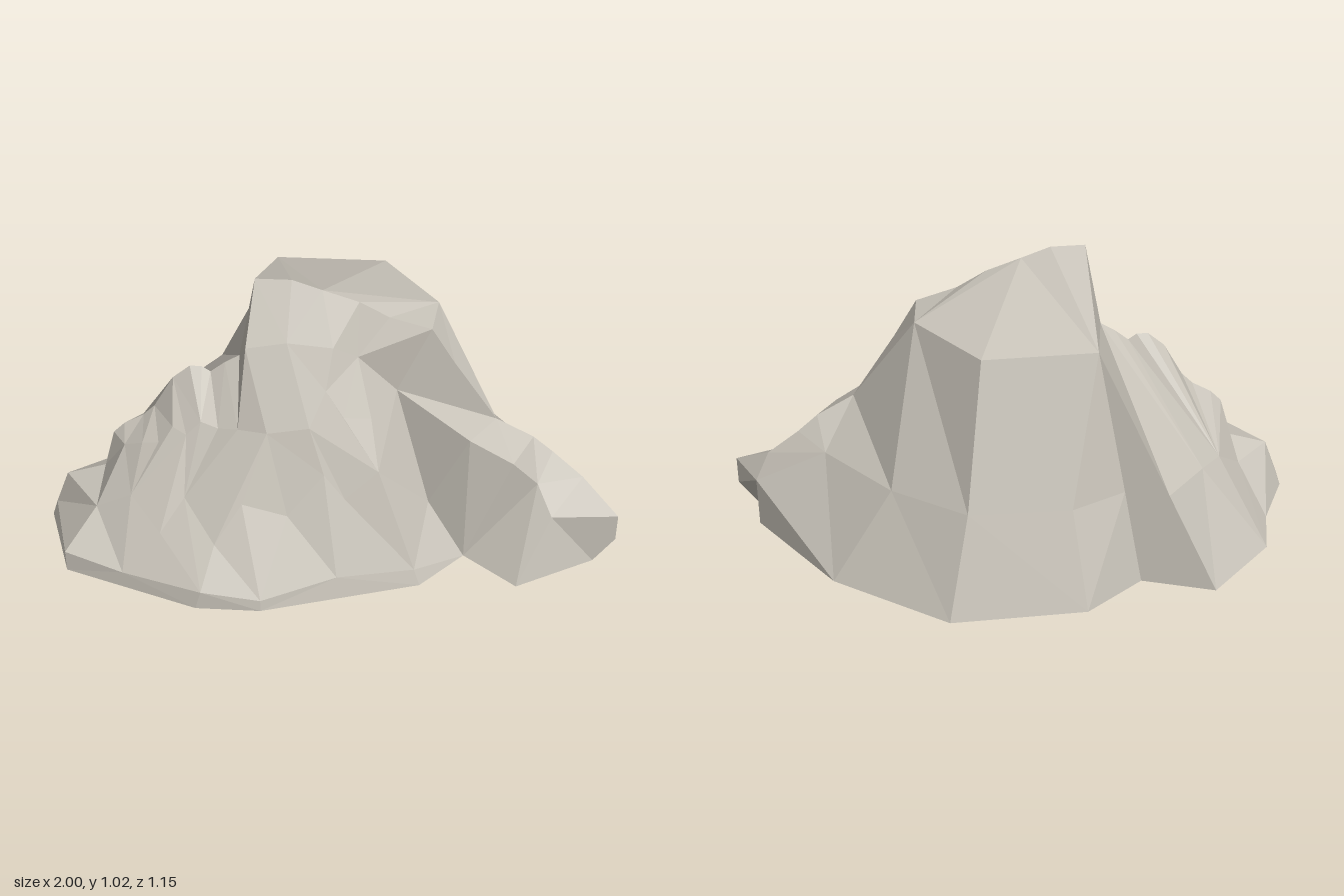
import * as THREE from 'three';

// Zips two contour lines into a faceted band (upper and lower, left to right seen from outside).
function band(upper, lower) {
  const pos = [];
  const dist = (p, q) => Math.hypot(p[0] - q[0], p[1] - q[1], p[2] - q[2]);
  let i = 0, j = 0;
  while (i < upper.length - 1 || j < lower.length - 1) {
    const canUp = i < upper.length - 1, canLow = j < lower.length - 1;
    const goUp = canUp && (!canLow || dist(upper[i + 1], lower[j]) < dist(upper[i], lower[j + 1]));
    const next = goUp ? upper[i + 1] : lower[j + 1];
    if (dist(upper[i], lower[j]) > 1e-6 && dist(next, upper[i]) > 1e-6 && dist(next, lower[j]) > 1e-6) {
      pos.push(...upper[i], ...lower[j], ...next);
    }
    if (goUp) i++; else j++;
  }
  const g = new THREE.BufferGeometry();
  g.setAttribute('position', new THREE.Float32BufferAttribute(pos, 3));
  g.computeVertexNormals();
  return g;
}

export function createModel() {
  const group = new THREE.Group();
  group.name = 'rockFormation';
  const stone = new THREE.MeshStandardMaterial({ color: 0xc8c3b9, side: THREE.DoubleSide });
  stone.name = 'stone';
  const add = (name, geometry) => {
    const mesh = new THREE.Mesh(geometry, stone);
    mesh.name = name;
    group.add(mesh);
  };
  const onRidge = ([x, y]) => [x, y, 0.11];
  const reversed = (line) => [...line].reverse();

  // Shared corners
  const westBase = [-1, 0, 0.11], westLip = [-0.98, 0.06, 0.11], westTop = [-0.93, 0.19, 0.11];
  const notch = [0.23, 0.61, 0.12], groove = [0.35, 0.2, 0.2];
  const spurTop = [0.57, 0.5, 0.11], spurFront = [0.48, 0.5, 0.245], spurFoot = [0.48, 0, 0.245];
  const spurEnd = [1, 0.2, 0.24], eastTop = [0.93, 0.18, 0.11];
  const roofWest = [-0.21, 0.84, -0.34], roofBack = [0.17, 0.84, -0.34], roofEast = [0.36, 0.85, -0.06];
  const eastHip = [0.47, 0.34, -0.28], backHip = [0.235, 0.35, -0.48], westHip = [-0.3, 0.34, -0.394];
  const ledgeCorner = [-0.44, 0.345, -0.446], cleft = [-0.36, 0, -0.43];
  const eastBase = [0.68, 0, -0.29], backBase = [0.31, 0, -0.58];

  // Ridge lines, left to right
  const ridgeWest = [[-0.79, 0.235], [-0.75, 0.38], [-0.71, 0.42], [-0.64, 0.46], [-0.6, 0.5], [-0.53, 0.62],
    [-0.47, 0.67], [-0.43, 0.67], [-0.4, 0.65], [-0.35, 0.69], [-0.3, 0.72]].map(onRidge);
  const saddle = ridgeWest[ridgeWest.length - 1];
  const ridgePeak = [[-0.24, 1.02], [-0.12, 1.02], [-0.02, 0.985], [0.1, 0.945], [0.2, 0.89], [0.34, 0.85]].map(onRidge);
  const ridgeEast = [[0.34, 0.85], [0.42, 0.72], [0.57, 0.5]].map(onRidge);
  const ridgeSpur = [spurTop, [0.7, 0.43, 0.11], [0.77, 0.37, 0.11], [0.88, 0.28, 0.13], spurEnd];

  // Front contours, top to bottom
  const brow = [[-0.265, 0.82, 0.22], [-0.13, 0.84, 0.21], [0.02, 0.82, 0.2], [0.1, 0.77, 0.17], notch];
  const upper = [ridgeWest[0], [-0.7, 0.38, 0.18], [-0.63, 0.42, 0.22], [-0.57, 0.44, 0.24], [-0.52, 0.5, 0.23],
    [-0.47, 0.49, 0.26], [-0.42, 0.54, 0.25], [-0.36, 0.53, 0.27], [-0.29, 0.55, 0.3], [-0.19, 0.56, 0.33],
    [-0.05, 0.58, 0.32], [0, 0.69, 0.26], [0.06, 0.6, 0.28], [0.15, 0.58, 0.25], notch];
  const middle = [westTop, [-0.79, 0.2, 0.3], [-0.66, 0.28, 0.33], [-0.55, 0.2, 0.43], [-0.47, 0.31, 0.37],
    [-0.36, 0.2, 0.48], [-0.27, 0.33, 0.42], [-0.12, 0.28, 0.41], [0, 0.42, 0.36], [0.07, 0.33, 0.37],
    [0.18, 0.42, 0.33], groove];
  const foot = [westLip, [-0.89, 0.08, 0.41], [-0.68, 0.06, 0.48], [-0.4, 0.07, 0.575], [-0.2, 0.04, 0.57],
    [0.05, 0.08, 0.48], [0.31, 0.06, 0.4], spurFoot];
  const baseFront = [westBase, [-0.89, 0, 0.41], [-0.42, 0, 0.575], [-0.2, 0, 0.575], [0.33, 0, 0.41], spurFoot];

  add('crown', band([saddle, ...ridgePeak, ...ridgeEast.slice(1)], [saddle, ...brow, spurTop]));
  add('upperFrontFace', band([...ridgeWest, ...brow], upper));
  add('middleFrontFace', band(upper, middle));
  add('lowerFrontFace', band(middle, foot));
  add('frontFoot', band(foot, baseFront));

  // Spur on the +x side
  const spurEdge = [spurFront, [0.63, 0.41, 0.245], [0.72, 0.3, 0.205], [0.77, 0.22, 0.285], spurEnd];
  const baseSpur = [spurFoot, [0.66, 0, 0.395], [0.93, 0, 0.24]];
  add('spurCap', band([notch, spurTop], [notch, spurFront]));
  add('spurWall', band([notch, spurFront], [groove, spurFoot]));
  add('spurTopFace', band(ridgeSpur, spurEdge));
  add('spurFrontFace', band(spurEdge, [...baseSpur, [1, 0.1, 0.24], spurEnd]));
  add('spurTip', band([spurEnd, eastTop], [[1, 0.1, 0.24], [0.93, 0, 0.24], [0.93, 0, 0.11]]));

  // East side of the spur and main block
  const baseEast = [[0.93, 0, 0.11], eastBase];
  const eastMiddle = [eastTop, [0.68, 0.34, 0], eastHip];
  add('eastFace', band([...reversed(ridgeSpur), ...reversed(ridgeEast).slice(1)], [...eastMiddle, roofEast]));
  add('eastFoot', band(eastMiddle, [eastBase]));
  add('eastToe', band([eastTop], baseEast));

  // Roof and back of the main block
  const baseBack = [backBase, [-0.15, 0, -0.58], cleft];
  const backMiddle = [backHip, [-0.11, 0.34, -0.48], westHip];
  add('roof', band(reversed(ridgePeak), [roofEast, roofBack, roofWest]));
  add('backCornerUpper', band([roofEast, roofBack], [backHip]));
  add('backCornerMiddle', band([roofEast], [eastHip, backHip]));
  add('backCornerFoot', band([eastHip, backHip], [eastBase, backBase]));
  add('backFace', band([roofBack, roofWest], backMiddle));
  add('backFoot', band(backMiddle, baseBack));

  // Cliff and low shoulder on the -x side
  add('cliff', band([roofWest, ridgePeak[0]], [ledgeCorner, saddle]));
  add('cliffFoot', band([roofWest, ledgeCorner], [westHip, cleft]));
  const ledge = [ledgeCorner, [-0.6, 0.32, -0.25], [-0.69, 0.29, -0.13], [-0.8, 0.18, 0], westTop];
  const baseWest = [cleft, [-0.6, 0, -0.52], [-0.84, 0, -0.29], [-0.89, 0, -0.1], westBase];
  add('shoulderSlope', band(reversed(ridgeWest), ledge));
  add('shoulderFoot', band(ledge, [...baseWest, westLip]));

  // Flat underside
  const outline = [...baseFront, ...baseSpur.slice(1), ...baseEast, ...baseBack, ...baseWest.slice(1, -1)];
  const underside = new THREE.ShapeGeometry(new THREE.Shape(outline.map(([x, , z]) => new THREE.Vector2(x, z))));
  underside.rotateX(Math.PI / 2);
  add('underside', underside);
  return group;
}
